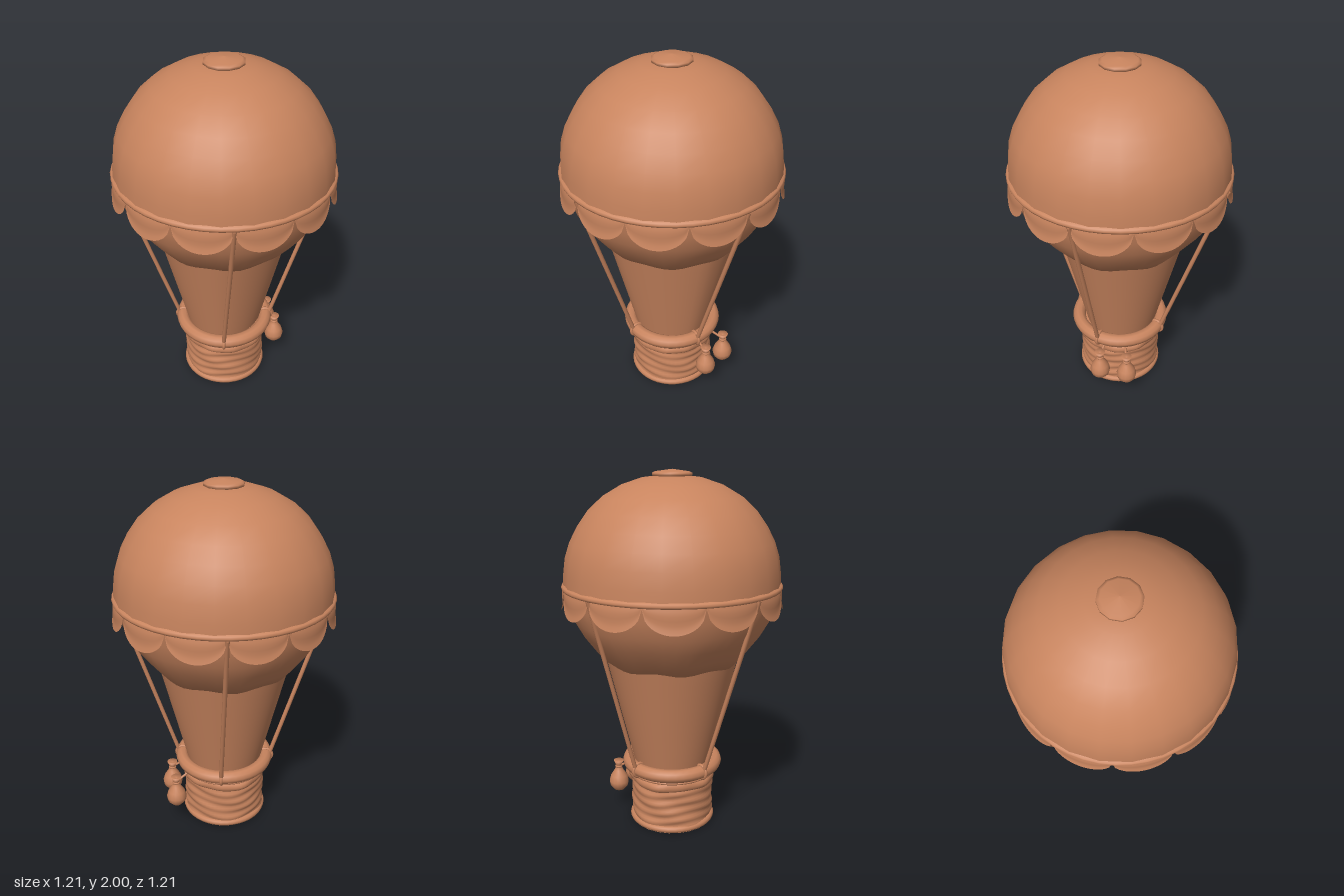
import * as THREE from 'three';

const clay = new THREE.MeshStandardMaterial({ color: 0xc8845e, side: THREE.DoubleSide });
clay.name = 'terracotta';
const TAU = Math.PI * 2;
const rad = (d) => d * Math.PI / 180;
// angles are measured from the front (+z) towards the model's left (+x)
const polar = (deg, r, y) => new THREE.Vector3(r * Math.sin(rad(deg)), y, r * Math.cos(rad(deg)));

// closed band of rings; at(angle, row) returns [radius, height], rows run bottom to top
function ringSurface(rows, sides, at) {
  const pos = [], idx = [];
  for (let j = 0; j < rows; j++) {
    for (let i = 0; i < sides; i++) {
      const a = i / sides * TAU, [r, y] = at(a, j);
      pos.push(r * Math.sin(a), y, r * Math.cos(a));
      if (j === rows - 1) continue;
      const b = j * sides + (i + 1) % sides, c = j * sides + i;
      idx.push(c, b, b + sides, c, b + sides, c + sides);
    }
  }
  const g = new THREE.BufferGeometry();
  g.setAttribute('position', new THREE.Float32BufferAttribute(pos, 3));
  g.setIndex(idx);
  g.computeVertexNormals();
  return g;
}

export function createModel() {
  const model = new THREE.Group();
  const add = (name, geometry, parent = model) => {
    const m = new THREE.Mesh(geometry, clay);
    m.name = name;
    parent.add(m);
    return m;
  };
  const revolve = (name, profile, sides) =>
    add(name, ringSurface(profile.length, sides, (a, j) => profile[j]));

  // upper dome of the envelope
  revolve('dome', [[0.588, 1.38], [0.585, 1.46], [0.573, 1.55], [0.547, 1.63], [0.505, 1.71], [0.448, 1.79],
    [0.372, 1.86], [0.27, 1.92], [0.16, 1.957], [0.08, 1.967], [0, 1.967]], 24);

  // lower envelope with a slightly uneven hem
  const lower = [[0.3, 1.0], [0.375, 0.985], [0.43, 1.05], [0.49, 1.13], [0.535, 1.21], [0.565, 1.3], [0.58, 1.39]];
  add('lowerEnvelope', ringSurface(lower.length, 48, (a, j) => {
    const fade = 1 - j / (lower.length - 1);
    return [lower[j][0] + 0.005 * fade * Math.cos(8 * a), lower[j][1] + 0.01 * fade * Math.cos(8 * a + 1)];
  }));

  // top vent cap
  revolve('ventCap', [[0.09, 1.955], [0.106, 1.967], [0.106, 1.98], [0.09, 1.988], [0, 2.0]], 12);

  // thin lip around the widest line
  revolve('band', [[0.58, 1.378], [0.595, 1.382], [0.599, 1.393], [0.594, 1.403], [0.578, 1.412]], 48);

  // twelve round scallops hanging from the band
  const phase = rad(21);
  add('scallops', ringSurface(7, 240, (a, j) => {
    const u = (((a - phase) / TAU * 12) % 1 + 1) % 1;
    const arch = Math.sqrt(Math.max(0, 1 - (2 * u - 1) ** 2));
    const drop = 1 - j / 6;
    return [0.588 + drop * 0.016 * arch + 0.004 * Math.sin(drop * TAU) * arch,
      1.39 - drop * (0.012 + 0.122 * arch)];
  }));

  // tapering skirt, slightly flattened at the front
  add('skirt', ringSurface(7, 48, (a, j) => {
    const t = j / 6;
    const front = Math.cos(a) > 0 ? Math.max(0, Math.cos(2 * a)) : 0;
    return [(0.215 + 0.16 * t) * (1 - 0.08 * front), 0.36 + 0.66 * t];
  }));

  // basket wall with uneven horizontal creases
  add('basketWall', ringSurface(28, 60, (a, j) => {
    const y = 0.02 + j / 27 * 0.31;
    const crease = 0.004 * Math.sin(115 * y + 1.5 * Math.sin(3 * a)) + 0.003 * Math.sin(5 * a + 40 * y);
    return [0.233 + crease, y];
  }));

  // upper roll of the basket, lumpy
  add('upperRoll', ringSurface(7, 60, (a, j) => {
    const s = j / 6 * Math.PI;
    return [0.226 + Math.sin(s) * (0.022 + 0.005 * Math.sin(5 * a) + 0.003 * Math.sin(11 * a + 1)),
      0.282 - 0.03 * Math.cos(s) + 0.004 * Math.sin(4 * a)];
  }));

  // floor, rings and rounded rim
  const floor = add('basketFloor', new THREE.CylinderGeometry(0.235, 0.235, 0.015, 24));
  floor.position.y = 0.0085;
  const hoop = (name, R, tube, y) => {
    const m = add(name, new THREE.TorusGeometry(R, tube, 10, 40));
    m.rotation.x = Math.PI / 2;
    m.position.y = y;
  };
  hoop('baseRing', 0.226, 0.02, 0.02);
  hoop('cordRing', 0.246, 0.009, 0.317);
  hoop('rim', 0.248, 0.038, 0.362);
  const deck = add('basketDeck', new THREE.CircleGeometry(0.246, 32));
  deck.rotation.x = -Math.PI / 2;
  deck.position.y = 0.36;

  // four ropes with loops around the rim
  for (let k = 0; k < 4; k++) {
    const top = polar(51 + 90 * k, 0.592, 1.385), low = polar(46 + 90 * k, 0.275, 0.385);
    add('rope', new THREE.TubeGeometry(new THREE.LineCurve3(top, low), 1, 0.012, 8));
    const loop = add('ropeLoop', new THREE.TorusGeometry(0.039, 0.009, 8, 18));
    loop.position.copy(polar(46 + 90 * k, 0.248, 0.362));
    loop.rotation.y = rad(46 + 90 * k) + Math.PI / 2;
  }

  // two sandbags hanging at the front left corner
  const bag = [[0, 0.12], [0.03, 0.125], [0.052, 0.15], [0.058, 0.18], [0.048, 0.215], [0.026, 0.25],
    [0.016, 0.272], [0.019, 0.285], [0.03, 0.312], [0, 0.3]].map(([x, y]) => new THREE.Vector2(x, y));
  for (const [x, z] of [[0.248, 0.19], [0.325, 0.05]]) {
    const sandbag = new THREE.Group();
    sandbag.name = 'sandbag';
    model.add(sandbag);
    add('sack', new THREE.LatheGeometry(bag, 16), sandbag).position.set(x, 0, z);
    const tie = add('tie', new THREE.TorusGeometry(0.016, 0.007, 6, 14), sandbag);
    tie.position.set(x, 0.273, z);
    tie.rotation.x = Math.PI / 2;
    const s = 0.245 / Math.hypot(x, z);
    const path = new THREE.LineCurve3(new THREE.Vector3(x * s, 0.315, z * s), new THREE.Vector3(x, 0.275, z));
    add('hanger', new THREE.TubeGeometry(path, 1, 0.007, 6), sandbag);
  }
  return model;
}
